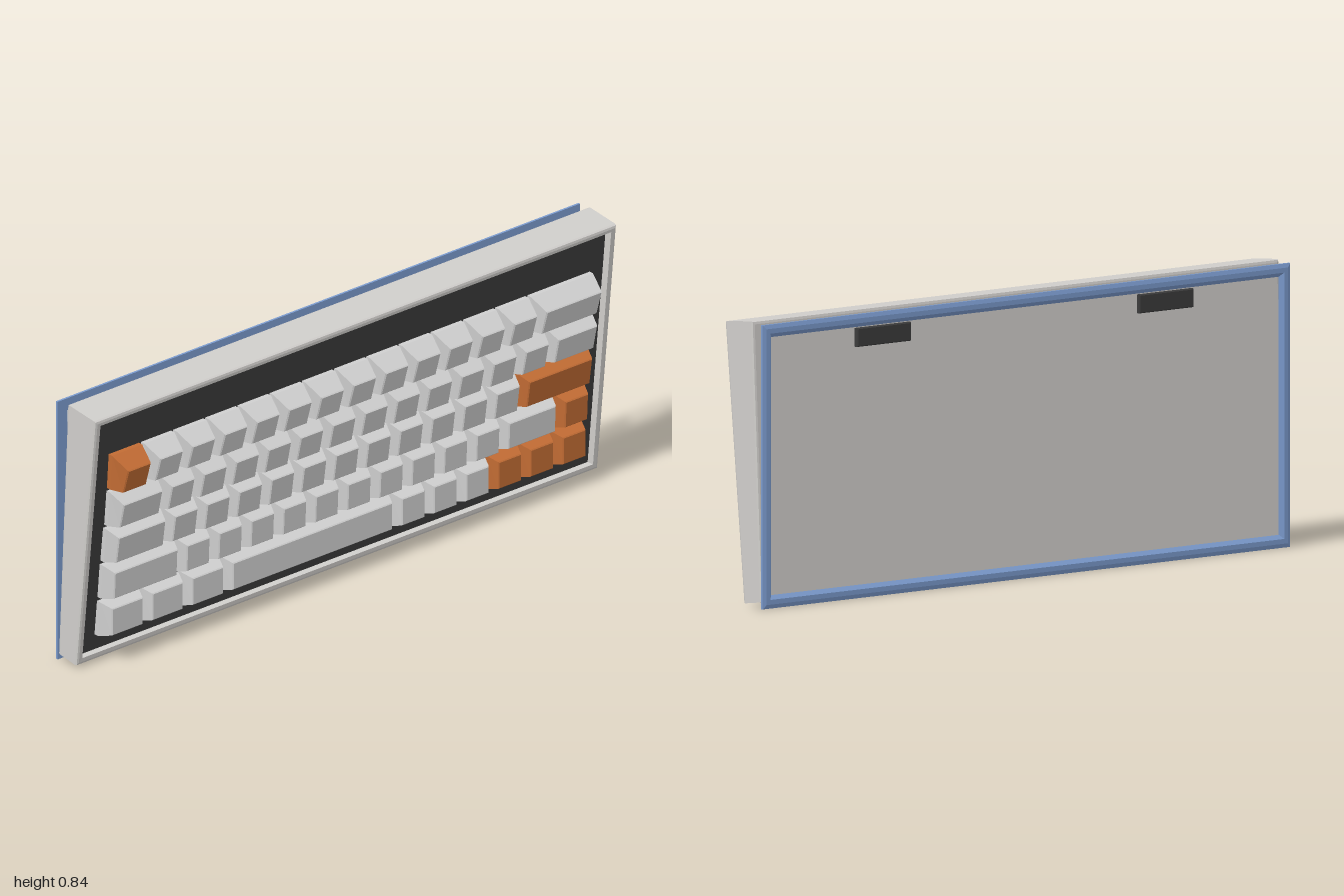
import * as THREE from 'three';

const mat = (name, color) => {
  const m = new THREE.MeshStandardMaterial({ color });
  m.name = name;
  return m;
};

// Lofts rectangular rings from back to front.
// Ring: [x0, x1, bottomY, bottomZ, topY, topZ]
function loft(rings, capBack = true, capFront = true) {
  const pos = [];
  const loops = rings.map(([x0, x1, yb, zb, yt, zt]) =>
    [[x0, yb, zb], [x1, yb, zb], [x1, yt, zt], [x0, yt, zt]]);
  const quad = (a, b, c, d) => pos.push(...a, ...b, ...c, ...a, ...c, ...d);
  for (let i = 0; i + 1 < loops.length; i++) {
    const a = loops[i], b = loops[i + 1];
    for (let j = 0; j < 4; j++) {
      const k = (j + 1) % 4;
      quad(a[j], a[k], b[k], b[j]);
    }
  }
  if (capBack) quad(...[...loops[0]].reverse());
  if (capFront) quad(...loops[loops.length - 1]);
  const g = new THREE.BufferGeometry();
  g.setAttribute('position', new THREE.Float32BufferAttribute(pos, 3));
  g.computeVertexNormals();
  return g;
}

export function createModel() {
  const model = new THREE.Group();
  model.name = 'keyboard';
  const shell = mat('silver shell', 0xd0cecb);
  const keyGrey = mat('light grey keys', 0xcfcfcf);
  const orange = mat('orange keys', 0xc26c34);
  const dark = mat('charcoal', 0x3c3c3c);
  const blue = mat('blue trim', 0x7c9ccf);

  const add = (name, geo, material, parent = model) => {
    const mesh = new THREE.Mesh(geo, material);
    mesh.name = name;
    parent.add(mesh);
    return mesh;
  };
  const sym = (x, ...rest) => [-x, x, ...rest];

  // Wedge-shaped case with softened edges and a recessed front
  const recess = sym(0.974, 0.030, -0.034, 0.808, 0.046);
  add('case', loft([
    sym(0.990, 0.028, -0.0975, 0.829, -0.0575),
    sym(0.996, 0.021, -0.0960, 0.836, -0.0555),
    sym(0.998, 0.0185, -0.090, 0.838, -0.0500),
    sym(0.998, 0.009, -0.0240, 0.827, 0.0600),
    sym(0.996, 0.010, -0.0180, 0.824, 0.0660),
    sym(0.990, 0.016, -0.0155, 0.817, 0.0675),
    sym(0.978, 0.028, -0.0145, 0.808, 0.0665),
    recess,
  ], true, false), shell);
  add('keyPlate', loft([recess], false, true), dark);

  // Keycap rows: unit widths, orange key indices, and side profile as [y, z]
  const rows = [
    { widths: [...Array(13).fill(1), 2], accent: [0],
      base: [0.578, 0.047, 0.690, 0.055], face: [0.578, 0.090, 0.657, 0.112] },
    { widths: [1.5, ...Array(12).fill(1), 1.5], accent: [],
      base: [0.455, 0.035, 0.568, 0.045], face: [0.460, 0.075, 0.540, 0.092] },
    { widths: [1.75, ...Array(11).fill(1), 2.25], accent: [12],
      base: [0.333, 0.018, 0.443, 0.030], face: [0.340, 0.058, 0.425, 0.070] },
    { widths: [2.25, ...Array(10).fill(1), 1.75, 1], accent: [12],
      base: [0.210, 0.005, 0.320, 0.015], face: [0.220, 0.048, 0.305, 0.052] },
    { widths: [1.25, 1.25, 1.25, 5.25, ...Array(6).fill(1)], accent: [7, 8, 9],
      base: [0.085, -0.008, 0.197, 0.003], face: [0.098, 0.040, 0.185, 0.040] },
  ];
  const unit = 1.85 / 15, gap = 0.004, taper = 0.014, edge = 0.003;
  const keys = new THREE.Group();
  keys.name = 'keys';
  model.add(keys);
  rows.forEach(({ widths, accent, base, face }, r) => {
    let x = -0.928;
    const [by, bz, ty, tz] = base;
    const [fby, fbz, fty, ftz] = face;
    widths.forEach((w, i) => {
      const x0 = x + gap, x1 = x + w * unit - gap;
      x += w * unit;
      const geo = loft([
        [x0, x1, by, bz - 0.015, ty, tz - 0.015],
        [x0, x1, by, bz, ty, tz],
        [x0 + taper, x1 - taper, fby, fbz - edge, fty, ftz - edge],
        [x0 + taper + edge, x1 - taper - edge, fby + edge, fbz, fty - edge, ftz],
      ]);
      add(`keyRow${r + 1}Number${i + 1}`, geo, accent.includes(i) ? orange : keyGrey, keys);
    });
  });

  // Thin blue trim ring standing behind the case
  const ring = (inset, z) => sym(1 - inset, inset, z, 0.832 - inset, z);
  add('backTrim', loft([
    ring(0.026, -0.109), ring(0.012, -0.109), ring(0, -0.105),
    ring(0, -0.098), ring(0.038, -0.098), ring(0.026, -0.109),
  ], false, false), blue);

  // Pair of rubber feet below the upper trim
  for (const s of [-1, 1]) {
    const c = s * 0.535, h = 0.103;
    add(s > 0 ? 'leftFoot' : 'rightFoot', loft([
      [c - h + 0.003, c + h - 0.003, 0.738, -0.102, 0.787, -0.102],
      [c - h, c + h, 0.735, -0.099, 0.790, -0.099],
      [c - h, c + h, 0.735, -0.089, 0.790, -0.089],
      [c - h + 0.003, c + h - 0.003, 0.738, -0.086, 0.787, -0.086],
    ]), dark);
  }
  return model;
}
